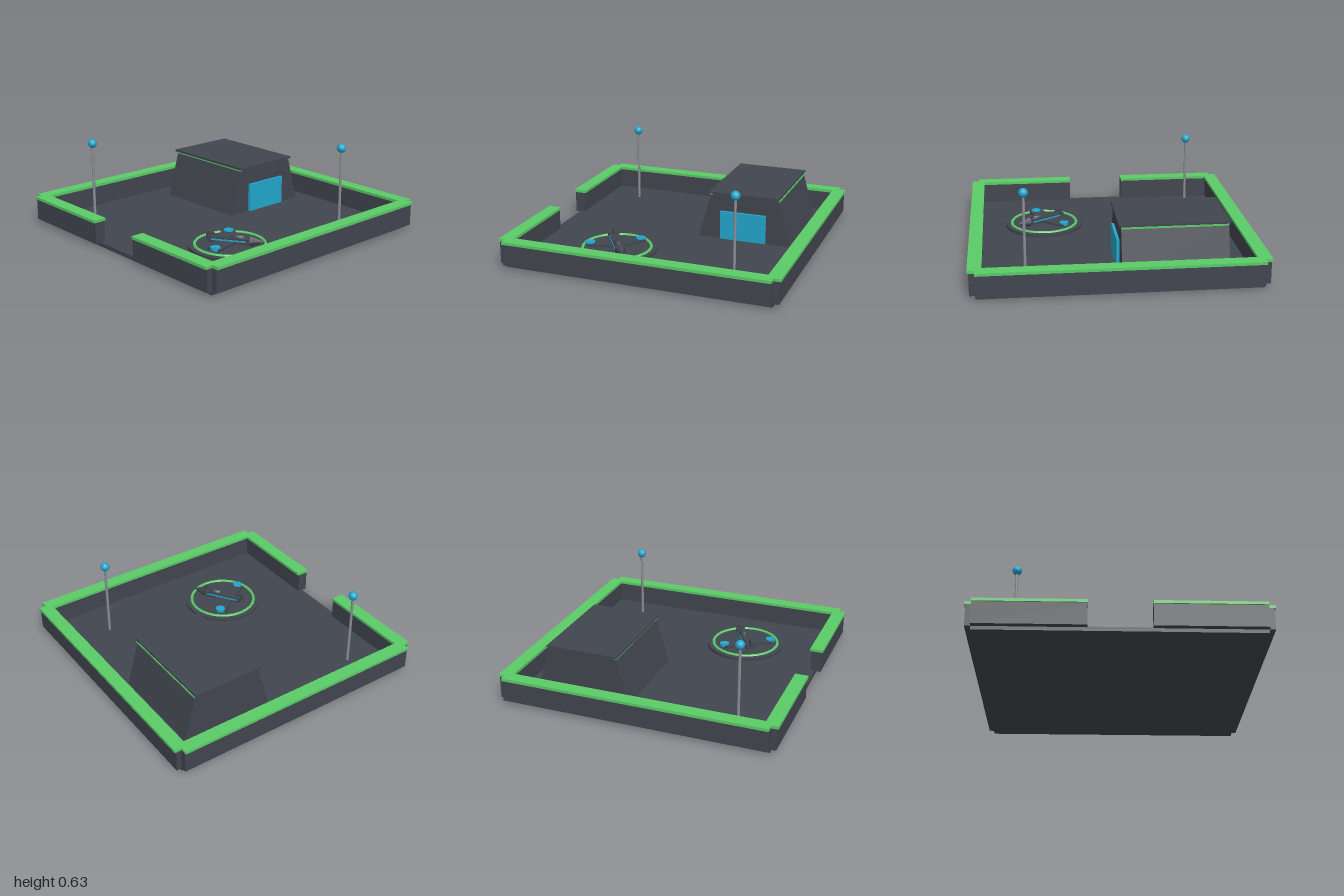
import * as THREE from 'three';

const mat = (name, color, flat = false) => {
  const m = new THREE.MeshStandardMaterial({ color, flatShading: flat });
  m.name = name;
  return m;
};

export function createModel() {
  const dark = mat('dark slate', 0x41454e, true);
  const green = mat('trim green', 0x5acb67, true);
  const blue = mat('light blue', 0x22a6cb);
  const grey = mat('pole grey', 0x8b8e95);

  const root = new THREE.Group();
  root.name = 'walledBase';

  const add = (parent, name, geo, material, x = 0, y = 0, z = 0) => {
    const m = new THREE.Mesh(geo, material);
    m.name = name;
    m.position.set(x, y, z);
    parent.add(m);
    return m;
  };
  // box given by its minimum and maximum corners
  const span = (parent, name, material, x0, x1, y0, y1, z0, z1) =>
    add(parent, name, new THREE.BoxGeometry(x1 - x0, y1 - y0, z1 - z0), material,
      (x0 + x1) / 2, (y0 + y1) / 2, (z0 + z1) / 2);

  span(root, 'floor', dark, -0.95, 0.95, 0, 0.03, -0.95, 0.95);

  // walls with overhanging caps, open at the front gate
  const wall = (name, x0, x1, z0, z1, alongX) => {
    const o = 0.01, ox = alongX ? 0 : o, oz = alongX ? o : 0;
    span(root, name, dark, x0, x1, 0.025, 0.18, z0, z1);
    span(root, name + 'Cap', green, x0 - ox, x1 + ox, 0.18, 0.2, z0 - oz, z1 + oz);
  };
  wall('backWall', -0.95, 0.95, -0.99, -0.915, true);
  wall('leftWall', 0.915, 0.99, -0.95, 0.95, false);
  wall('rightWall', -0.99, -0.915, -0.95, 0.95, false);
  wall('frontWallRight', -0.95, -0.21, 0.915, 0.99, true);
  wall('frontWallLeft', 0.21, 0.95, 0.915, 0.99, true);

  // hangar with sloping front and back
  const hangar = new THREE.Group();
  hangar.name = 'hangar';
  root.add(hangar);
  const profile = new THREE.Shape([[0.11, 0.03], [0.8, 0.03], [0.705, 0.37], [0.205, 0.37]]
    .map(([x, y]) => new THREE.Vector2(x, y)));
  const body = new THREE.ExtrudeGeometry(profile, { depth: 0.73, bevelEnabled: false });
  body.rotateY(Math.PI / 2);
  add(hangar, 'hangarBody', body, dark, -0.75);
  span(hangar, 'roof', dark, -0.765, -0.005, 0.37, 0.385, -0.715, -0.19);
  span(hangar, 'frontTrim', green, -0.75, -0.02, 0.358, 0.37, -0.215, -0.195);
  span(hangar, 'backTrim', green, -0.75, -0.02, 0.358, 0.37, -0.72, -0.7);
  span(hangar, 'door', blue, -0.022, 0, 0.035, 0.245, -0.62, -0.28);

  // lamp posts
  for (const [x, z] of [[-0.695, 0.655], [0.62, -0.59]]) {
    add(root, 'lampPole', new THREE.CylinderGeometry(0.01, 0.01, 0.55, 10), grey, x, 0.305, z);
    add(root, 'lampBall', new THREE.SphereGeometry(0.033, 14, 10), blue, x, 0.594, z);
  }

  // landing pad
  const pad = new THREE.Group();
  pad.name = 'landingPad';
  pad.position.set(0.45, 0, 0.34);
  root.add(pad);
  add(pad, 'padDisc', new THREE.CylinderGeometry(0.29, 0.29, 0.022, 32), dark, 0, 0.04, 0);
  const ring = new THREE.TorusGeometry(0.245, 0.011, 6, 28);
  ring.rotateX(Math.PI / 2);
  add(pad, 'padRing', ring, green, 0, 0.051, 0);

  // parked ship, nose along its own +x
  const ship = new THREE.Group();
  ship.name = 'ship';
  ship.rotation.y = 0.581;
  pad.add(ship);
  span(ship, 'fuselage', dark, -0.15, 0.15, 0.06, 0.1, -0.032, 0.032);
  const nose = new THREE.ConeGeometry(0.04, 0.1, 10);
  nose.rotateZ(-Math.PI / 2);
  add(ship, 'nose', nose, dark, 0.195, 0.083, 0);
  const canopy = new THREE.SphereGeometry(1, 14, 8);
  canopy.scale(0.055, 0.028, 0.032);
  add(ship, 'canopy', canopy, dark, 0.06, 0.1, 0);
  span(ship, 'tailFin', dark, -0.17, -0.11, 0.08, 0.125, -0.005, 0.005);
  span(ship, 'tailPlane', dark, -0.155, -0.135, 0.08, 0.105, -0.04, 0.04);
  for (const s of [-1, 1]) {
    // swept wing laid flat
    const outline = new THREE.Shape([[-0.085, 0.03], [0.045, 0.03], [-0.015, 0.212], [-0.11, 0.18]]
      .map(([x, z]) => new THREE.Vector2(x, s * z)));
    const wing = new THREE.ExtrudeGeometry(outline, { depth: 0.015, bevelEnabled: false });
    wing.rotateX(Math.PI / 2);
    add(ship, 'wing', wing, dark, 0, 0.078, 0);
    add(ship, 'wingThruster', new THREE.CylinderGeometry(0.035, 0.035, 0.02, 18), blue, -0.055, 0.077, s * 0.182);
    span(ship, 'sideStripe', blue, -0.13, 0.12, 0.078, 0.088, s * 0.0335 - 0.003, s * 0.0335 + 0.003);
  }
  return root;
}
